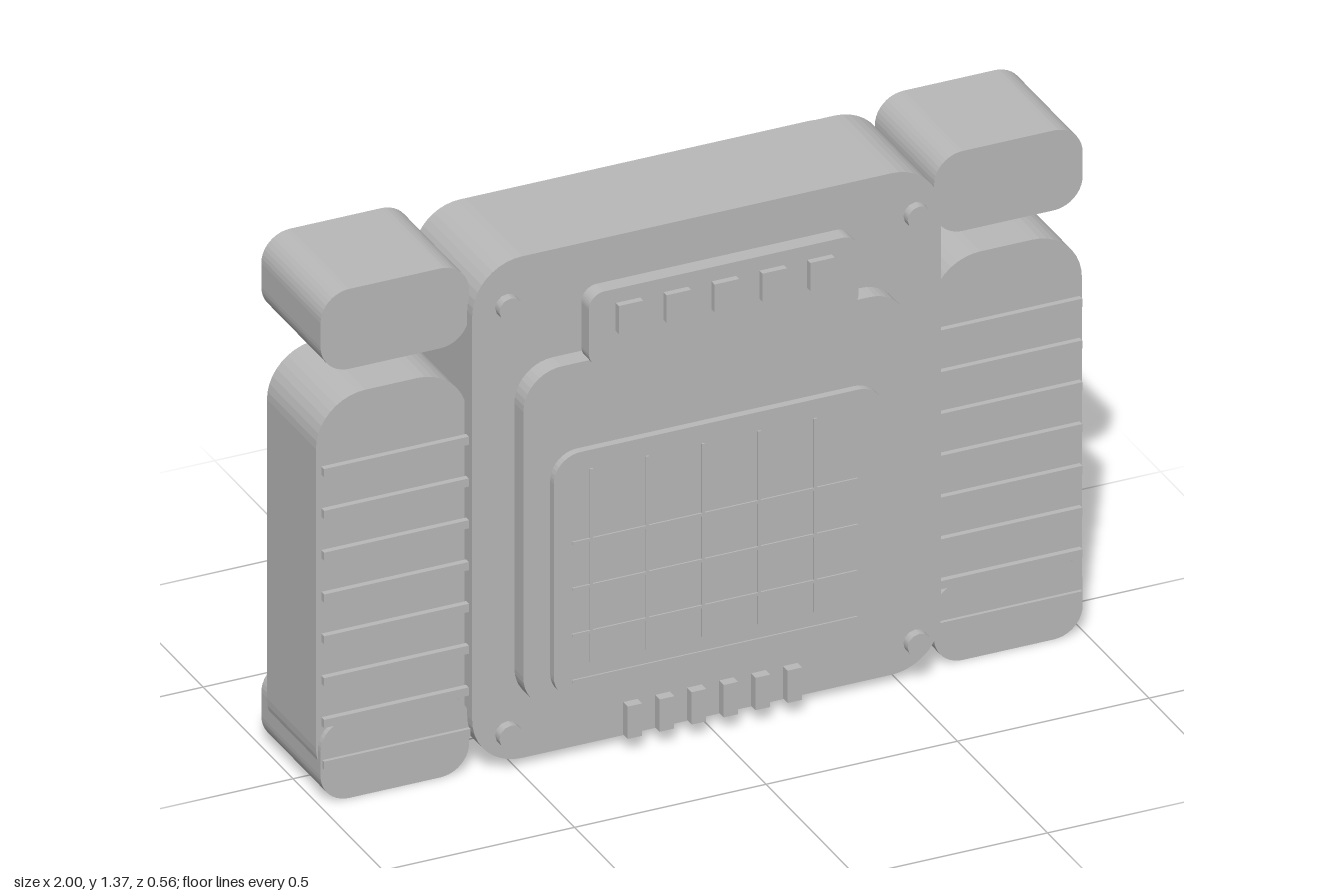
import * as THREE from 'three';

const grey = new THREE.MeshStandardMaterial({ color: 0xb8b8b8 });
grey.name = 'plain grey';

// Slab with rounded corners in the front plane, spanning the given ranges
function slab(name, x0, x1, y0, y1, z0, z1, r) {
  const s = new THREE.Shape();
  s.moveTo(x0 + r, y0);
  s.absarc(x1 - r, y0 + r, r, -Math.PI / 2, 0, false);
  s.absarc(x1 - r, y1 - r, r, 0, Math.PI / 2, false);
  s.absarc(x0 + r, y1 - r, r, Math.PI / 2, Math.PI, false);
  s.absarc(x0 + r, y0 + r, r, Math.PI, Math.PI * 1.5, false);
  const g = new THREE.ExtrudeGeometry(s, { depth: z1 - z0, bevelEnabled: false, curveSegments: 5 });
  g.translate(0, 0, z0);
  const m = new THREE.Mesh(g, grey);
  m.name = name;
  return m;
}

// Plain box spanning the given ranges
function block(name, x0, x1, y0, y1, z0, z1) {
  const g = new THREE.BoxGeometry(x1 - x0, y1 - y0, z1 - z0);
  g.translate((x0 + x1) / 2, (y0 + y1) / 2, (z0 + z1) / 2);
  const m = new THREE.Mesh(g, grey);
  m.name = name;
  return m;
}

export function createModel() {
  const model = new THREE.Group();
  model.name = 'device';

  // Main case, raised front panel and screen
  model.add(slab('case', -0.612, 0.612, 0.02, 1.37, -0.145, 0.17, 0.13));
  model.add(slab('frontPanel', -0.502, 0.502, 0.165, 1.08, 0.17, 0.22, 0.1));
  model.add(slab('screen', -0.432, 0.432, 0.19, 0.85, 0.22, 0.24, 0.07));

  // Grid lines on the screen
  const grid = new THREE.Group();
  grid.name = 'screenGrid';
  for (let i = 0; i < 5; i++) {
    const x = -0.335 + i * 0.146;
    grid.add(block('verticalLine', x - 0.004, x + 0.004, 0.28, 0.8, 0.239, 0.244));
  }
  for (let i = 0; i < 4; i++) {
    const y = 0.61 - i * 0.124;
    grid.add(block('horizontalLine', -0.385, 0.36, y - 0.004, y + 0.004, 0.239, 0.244));
  }
  model.add(grid);

  // Button bar above the screen
  model.add(slab('buttonBar', -0.352, 0.352, 1.083, 1.283, 0.223, 0.265, 0.04));
  for (let i = -2; i <= 2; i++) {
    const x = i * 0.125;
    model.add(block('button', x - 0.032, x + 0.032, 1.17, 1.245, 0.265, 0.282));
  }

  // Connector pins along the bottom edge
  for (let i = 0; i < 6; i++) {
    const x = -0.213 + i * 0.0835;
    model.add(block('pin', x - 0.019, x + 0.019, 0.04, 0.127, 0.2, 0.225));
  }

  // Back cover in two layers
  model.add(slab('backGasket', -0.555, 0.555, 0.085, 1.3, -0.2, -0.165, 0.12));
  model.add(slab('backCover', -0.577, 0.577, 0.063, 1.32, -0.23, -0.197, 0.12));

  for (const s of [-1, 1]) {
    const side = s > 0 ? 'left' : 'right';
    const span = (a, b) => (s > 0 ? [a, b] : [-b, -a]);

    // Side grip with horizontal ribs
    model.add(slab(side + 'Grip', ...span(0.605, 1), 0.015, 1.08, -0.145, 0.127, 0.13));
    for (let i = 0; i < 8; i++) {
      const y = 0.107 + i * 0.1125;
      model.add(block(side + 'Rib', ...span(0.608, 0.99), y - 0.011, y + 0.011, 0.136, 0.151));
    }

    // Corner bumpers
    model.add(slab(side + 'LowerBumper', ...span(0.607, 0.995), 0, 0.215, -0.187, 0.142, 0.075));
    model.add(slab(side + 'UpperBumper', ...span(0.607, 0.995), 1.155, 1.37, -0.187, 0.142, 0.075));

    // Screws on the front
    for (const y of [0.112, 1.262]) {
      const screw = new THREE.Mesh(new THREE.CylinderGeometry(0.031, 0.031, 0.024, 12), grey);
      screw.rotation.x = Math.PI / 2;
      screw.position.set(s * 0.533, y, 0.207);
      screw.name = side + 'Screw';
      model.add(screw);
    }

    // Pads on the back cover
    for (const y of [0.195, 1.19]) {
      model.add(block(side + 'BackPad', ...span(0.302, 0.502), y - 0.07, y + 0.07, -0.281, -0.23));
    }
  }
  return model;
}
